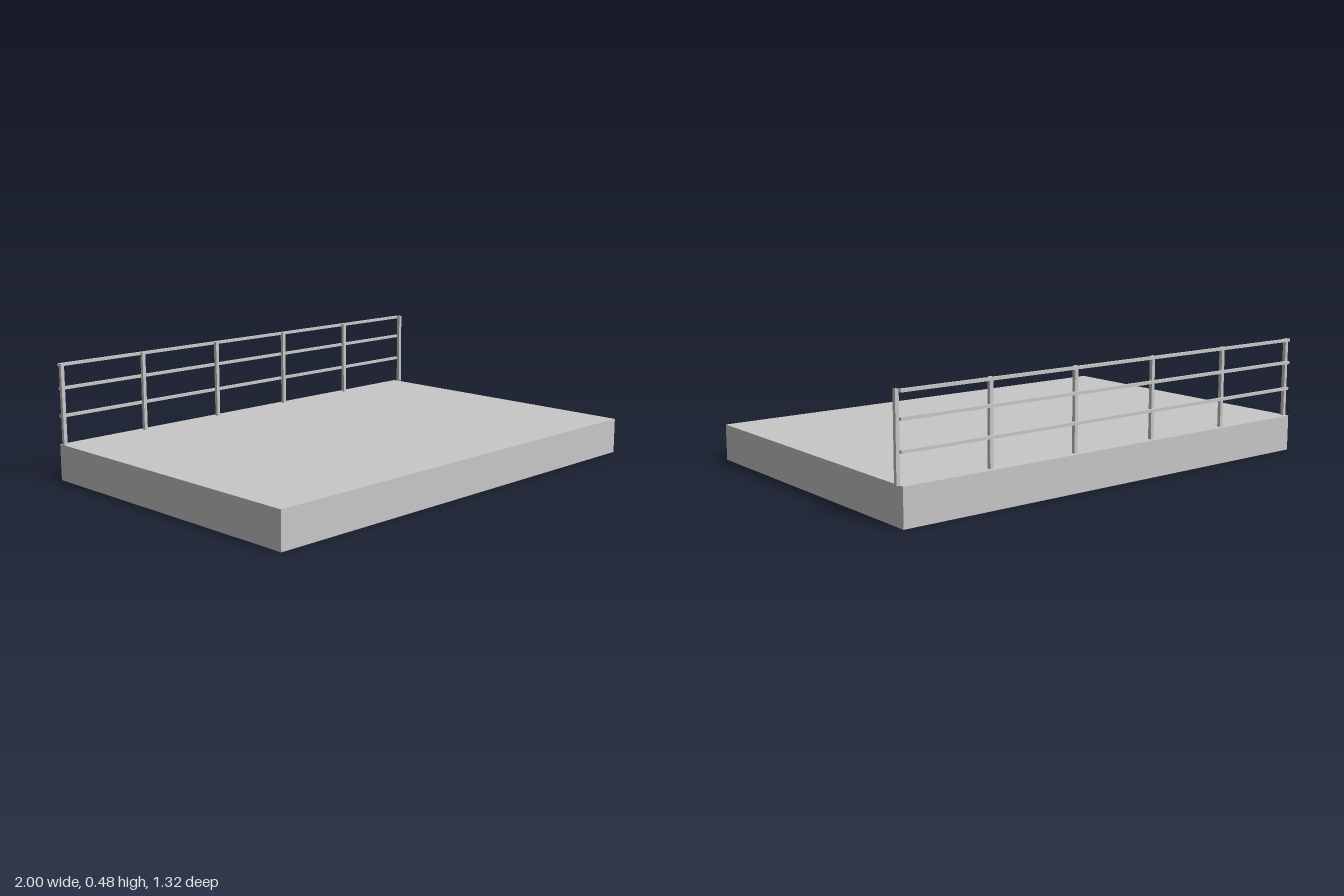
import * as THREE from 'three';

export function createModel() {
  const model = new THREE.Group();
  const grey = new THREE.MeshStandardMaterial({ color: 0xc8c8c8 });
  grey.name = 'light grey';

  // Box given by its size and centre
  const addBox = (name, parent, [w, h, d], [x, y, z]) => {
    const mesh = new THREE.Mesh(new THREE.BoxGeometry(w, h, d), grey);
    mesh.name = name;
    mesh.position.set(x, y, z);
    parent.add(mesh);
  };

  // Platform slab
  addBox('slab', model, [1.985, 0.15, 1.324], [-0.0075, 0.075, 0]);

  // Railing along the back edge
  const railing = new THREE.Group();
  railing.name = 'railing';
  model.add(railing);

  const postCount = 6, postWidth = 0.015, top = 0.482, deck = 0.15;
  for (let i = 0; i < postCount; i++) {
    const x = -0.9925 + (1.985 * i) / (postCount - 1);
    addBox('post', railing, [postWidth, top - deck, postWidth], [x, (top + deck) / 2, -0.638]);
  }

  // Rails fixed to the outer side of the posts
  for (const y of [0.267, 0.38, 0.476]) {
    addBox('rail', railing, [1.985, 0.012, 0.012], [-0.0075, y, -0.65]);
  }
  return model;
}
